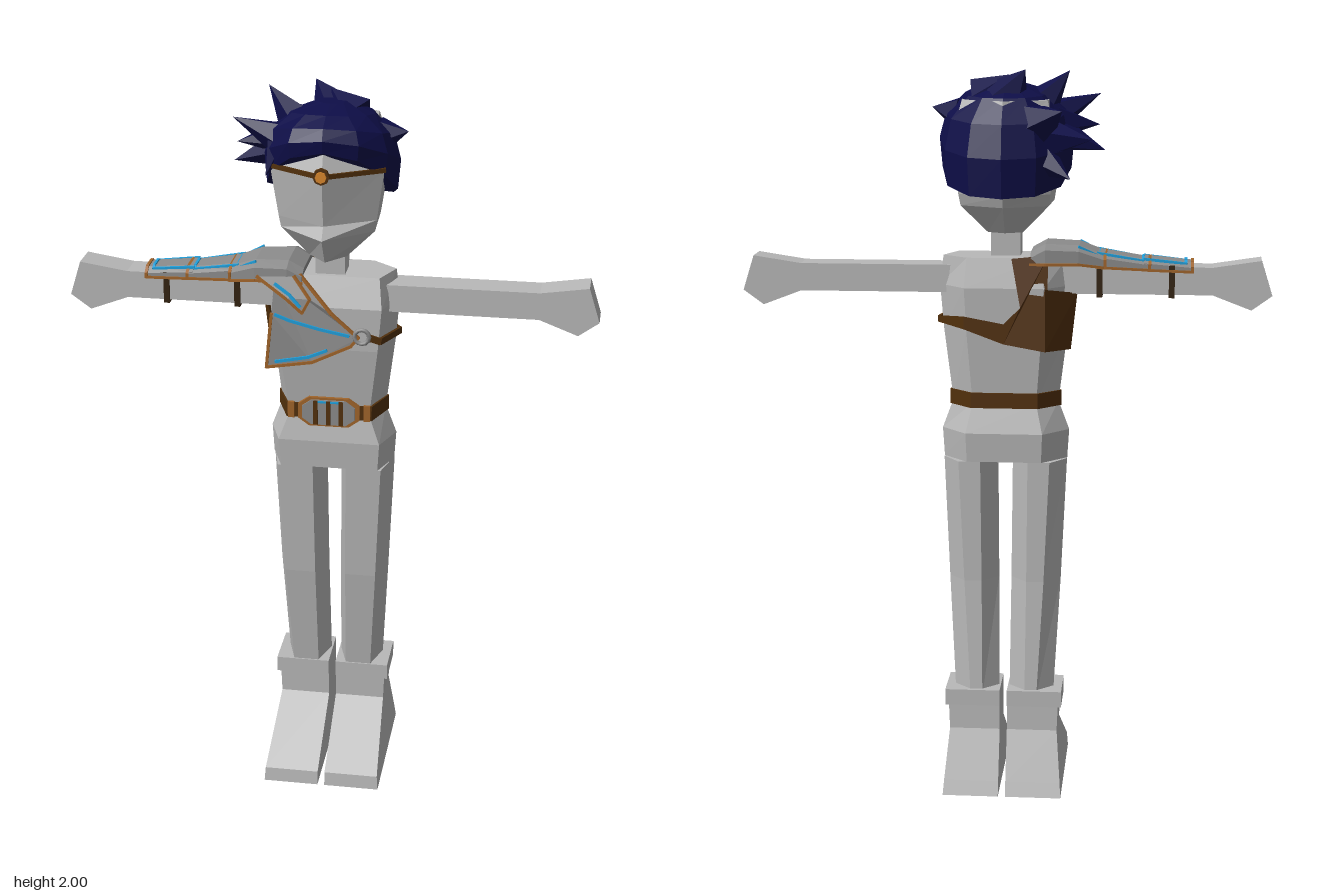
import * as THREE from 'three';

const mat = (name, color) => {
  const m = new THREE.MeshStandardMaterial({ color, side: THREE.DoubleSide });
  m.name = name;
  return m;
};
const V = (x, y, z) => new THREE.Vector3(x, y, z);

// Flat-shaded solid through rings of points (counterclockwise about the sweep direction)
function loft(rings) {
  const p = [];
  const tri = (...v) => v.forEach(q => p.push(q.x, q.y, q.z));
  const n = rings[0].length;
  for (let r = 0; r + 1 < rings.length; r++) for (let i = 0; i < n; i++) {
    const j = (i + 1) % n, a = rings[r], b = rings[r + 1];
    tri(a[i], a[j], b[j]);
    tri(a[i], b[j], b[i]);
  }
  const lo = rings[0], hi = rings[rings.length - 1];
  for (let i = 1; i < n - 1; i++) {
    tri(lo[0], lo[i + 1], lo[i]);
    tri(hi[0], hi[i], hi[i + 1]);
  }
  const g = new THREE.BufferGeometry();
  g.setAttribute('position', new THREE.Float32BufferAttribute(p, 3));
  g.computeVertexNormals();
  return g;
}
const flat = g => { const f = g.index ? g.toNonIndexed() : g; f.computeVertexNormals(); return f; };
const polygon = pts => new THREE.Shape(pts.map(([x, y]) => new THREE.Vector2(x, y)));

export function createModel() {
  const root = new THREE.Group();
  root.name = 'armouredFigure';
  const body = mat('bodyGrey', 0xb8b8b8), steel = mat('armourGrey', 0x8c8c8c);
  const leather = mat('brownLeather', 0x52300c), dark = mat('darkStrap', 0x33220f);
  const brass = mat('brassTrim', 0xa0642a), blue = mat('blueLine', 0x1fa0dc);
  const hairMat = mat('navyHair', 0x0e0e48), gem = mat('orangeGem', 0xd8862c);

  const add = (name, geo, material, parent = root) => {
    const m = new THREE.Mesh(geo, material);
    m.name = name;
    parent.add(m);
    return m;
  };
  // Straight bars along a path of [x, y, z] points
  const bars = (name, pts, w, d, material) => {
    const g = new THREE.Group();
    g.name = name;
    root.add(g);
    for (let i = 0; i + 1 < pts.length; i++) {
      const a = V(...pts[i]), b = V(...pts[i + 1]);
      const m = add(name + 'Segment', new THREE.BoxGeometry(d, w, a.distanceTo(b) + Math.min(w, d) * 0.6), material, g);
      m.position.copy(a).lerp(b, 0.5);
      m.lookAt(b);
    }
  };
  const box = (name, x, y, z, w, h, d, material) =>
    add(name, new THREE.BoxGeometry(w, h, d), material).position.set(x, y, z);

  // Torso: six-sided sections [y, half width, front z, back z]
  const section = (y, w, f, b) => [V(-w + 0.035, y, f), V(w - 0.035, y, f), V(w, y, -0.035),
    V(w * 0.6, y, b), V(-w * 0.6, y, b), V(-w, y, -0.035)];
  const torso = [[0.94, 0.17, 0.06, -0.11], [1.02, 0.175, 0.065, -0.115], [1.1, 0.145, 0.05, -0.09],
    [1.3, 0.17, 0.078, -0.105], [1.42, 0.18, 0.08, -0.11], [1.5, 0.17, 0.05, -0.09]];
  add('torso', loft(torso.map(t => section(...t))), body);
  box('neck', 0, 1.54, -0.002, 0.08, 0.12, 0.075, body);

  // Limbs, mirrored
  for (const s of [1, -1]) {
    const side = s > 0 ? 'left' : 'right';
    const ring = pts => { const r = pts.map(([x, y, z]) => V(s * x, y, z)); return s > 0 ? r : r.reverse(); };
    const leg = [[0.94, 0.02, 0.17, 0.06, -0.11], [0.6, 0.017, 0.155, 0.04, -0.108], [0.27, 0.014, 0.137, 0, -0.128]]
      .reverse().map(([y, i, o, f, b]) => ring([[i + 0.026, y, f], [o - 0.026, y, f], [o, y, (f + b) / 2 - 0.02],
        [o - 0.045, y, b], [i + 0.045, y, b], [i, y, (f + b) / 2 - 0.02]]));
    add(side + 'Leg', loft(leg), body);

    const boot = [[0, 0.165, 0.215, -0.2], [0.04, 0.162, 0.21, -0.185], [0.175, 0.15, -0.005, -0.132], [0.25, 0.153, -0.005, -0.13]]
      .map(([y, o, f, b]) => ring([[0.01, y, f], [o, y, f], [o, y, b], [0.01, y, b]]));
    add(side + 'Boot', loft(boot), body);
    box(side + 'BootCuff', s * 0.086, 0.268, -0.066, 0.152, 0.045, 0.145, body);

    const arm = [[0.14, 1.4], [0.56, 1.4], [0.665, 1.36], [0.72, 1.4], [0.69, 1.495], [0.56, 1.475], [0.14, 1.475]];
    const g = new THREE.ExtrudeGeometry(polygon(arm.map(([x, y]) => [s * x, y])), { depth: 0.084, bevelEnabled: false });
    add(side + 'Arm', g.translate(0, 0, -0.054), body);
  }

  // Head with a centre crease: [y, half width, front z, cheek z, temple z, back z]
  const headRing = ([y, w, f, c, t, b]) => [V(0, y, f), V(w, y, c), V(w * 0.95, y, t), V(0, y, b),
    V(-w * 0.95, y, t), V(-w, y, c)];
  add('head', loft([[1.565, 0.05, 0.13, 0.07, -0.05, -0.075], [1.64, 0.125, 0.182, 0.075, -0.08, -0.14],
    [1.672, 0.13, 0.155, 0.08, -0.09, -0.155], [1.81, 0.15, 0.178, 0.09, -0.1, -0.17],
    [1.92, 0.12, 0.13, 0.06, -0.08, -0.14]].map(headRing)), body);
  add('headband', loft([1.805, 1.817].map(y => headRing([y, 0.154, 0.183, 0.093, -0.1, -0.174]))), leather);
  const jewel = (name, r, z, m) => {
    const g = new THREE.CylinderGeometry(r, r, 0.012, 8).rotateX(Math.PI / 2);
    add(name, flat(g), m).position.set(0, 1.815, z);
  };
  jewel('browSetting', 0.022, 0.184, leather);
  jewel('browGem', 0.015, 0.19, gem);

  // Hair cap: low at the nape, high over the brow
  const hairRings = [[0, 0.96], [0.35, 1], [0.65, 0.9], [0.87, 0.62], [1, 0.2]].map(([t, r]) =>
    Array.from({ length: 12 }, (_, i) => {
      const a = i / 12 * Math.PI * 2, c = Math.cos(a), low = 1.735 + 0.1 * c + 0.035 * c * c;
      return V(Math.sin(a) * 0.182 * r, low + (1.965 - low) * t, c * (c > 0 ? 0.172 : 0.205) * r);
    }));
  add('hairCap', loft(hairRings), hairMat);
  // Hair spikes: base, tip, radius
  const spikes = [
    [[-0.09, 1.9, 0], [-0.17, 1.995, -0.02], 0.055], [[0, 1.92, -0.05], [-0.055, 2, -0.08], 0.07],
    [[0.05, 1.92, -0.02], [-0.01, 1.985, -0.05], 0.07], [[-0.12, 1.87, 0.05], [-0.25, 1.93, 0.07], 0.05],
    [[-0.13, 1.83, -0.02], [-0.267, 1.785, -0.025], 0.055], [[-0.13, 1.86, -0.01], [-0.25, 1.85, 0.02], 0.05],
    [[-0.12, 1.82, -0.09], [-0.235, 1.82, -0.12], 0.055], [[-0.09, 1.86, -0.12], [-0.16, 1.9, -0.21], 0.06],
    [[-0.1, 1.77, -0.11], [-0.18, 1.72, -0.17], 0.05], [[-0.13, 1.86, 0.07], [-0.16, 1.785, 0.1], 0.035],
    [[0.13, 1.88, 0], [0.203, 1.895, 0.015], 0.05]];
  for (const [a, b, r] of spikes) {
    const base = V(...a), tip = V(...b), h = base.distanceTo(tip);
    const m = add('hairSpike', flat(new THREE.ConeGeometry(r, h, 5)), hairMat);
    m.position.copy(base).lerp(tip, 0.5);
    m.quaternion.setFromUnitVectors(V(0, 1, 0), tip.sub(base).normalize());
  }

  // Breastplate over the right half of the chest
  const frontZ = y => (y > 1.44 ? 0.097 - (y - 1.44) * 0.4 : 0.097);
  const plate = (name, pts, zRule, material) => {
    const g = new THREE.ShapeGeometry(polygon(pts)), p = g.attributes.position;
    for (let i = 0; i < p.count; i++) p.setZ(i, zRule(p.getY(i)));
    return add(name, flat(g), material);
  };
  const on = (pts, lift) => pts.map(([x, y]) => [x, y, frontZ(y) + lift]);
  const breast = [[-0.145, 1.5], [-0.15, 1.4], [-0.165, 1.247], [-0.04, 1.268], [0.065, 1.32], [0.085, 1.345],
    [0.012, 1.41], [-0.075, 1.505]];
  plate('breastplate', breast, frontZ, steel);
  bars('breastplateTrim', on([...breast.slice(1), breast[0]], 0), 0.008, 0.008, brass);
  bars('breastplateLowerLine', on([[-0.14, 1.265], [-0.05, 1.283], [0.0, 1.305]], 0.003), 0.008, 0.005, blue);
  bars('breastplateUpperLine', on([[-0.14, 1.4], [-0.1, 1.385], [-0.02, 1.365], [0.06, 1.35]], 0.003), 0.008, 0.005, blue);
  const flap = [[-0.19, 1.5], [-0.09, 1.505], [-0.045, 1.45], [-0.065, 1.412], [-0.11, 1.45]];
  plate('shoulderFlap', flap, y => frontZ(y) + 0.012, steel);
  bars('shoulderFlapTrim', on([...flap.slice(1), flap[0]], 0.012), 0.007, 0.007, brass);
  bars('shoulderFlapLine', on([[-0.14, 1.485], [-0.1, 1.46], [-0.07, 1.43]], 0.015), 0.008, 0.005, blue);

  // Leather harness on the right side, back and left side
  plate('backHarness', [[0.108, 1.345], [0, 1.325], [-0.045, 1.37], [-0.02, 1.5], [-0.12, 1.51], [-0.112, 1.25],
    [0, 1.27], [0.108, 1.31]], y => -0.122 + Math.max(0, y - 1.42) * 0.25, leather);
  const quad = (name, pts) => {
    const [a, b, c, d] = pts.map(p => V(...p));
    const g = new THREE.BufferGeometry().setFromPoints([a, b, c, a, c, d]);
    g.computeVertexNormals();
    add(name, g, leather);
  };
  quad('rightFlankFront', [[-0.178, 1.245, -0.04], [-0.163, 1.247, 0.097], [-0.15, 1.4, 0.097], [-0.195, 1.4, -0.04]]);
  quad('rightFlankBack', [[-0.112, 1.25, -0.122], [-0.178, 1.245, -0.04], [-0.195, 1.4, -0.04], [-0.112, 1.42, -0.122]]);
  quad('leftBackStrap', [[0.185, 1.315, -0.035], [0.108, 1.31, -0.122], [0.108, 1.345, -0.122], [0.185, 1.333, -0.035]]);
  bars('leftChestStrap', [[0.115, 1.345, 0.092], [0.143, 1.335, 0.087], [0.182, 1.324, -0.035]], 0.018, 0.008, leather);
  add('strapRing', new THREE.TorusGeometry(0.02, 0.006, 6, 12), steel).position.set(0.095, 1.35, 0.1);

  // Overlapping plates down the right arm: [x, top y, half depth, bottom y]
  const armRing = ([x, y, h, b]) => [[y, h * 0.6], [y - 0.013, h], [b, h], [b, -h], [y - 0.013, -h], [y, -h * 0.6]]
    .map(([py, z]) => V(x, py, z - 0.011));
  const armPlates = {
    shoulderPlate: [[-0.27, 1.508, 0.068, 1.475], [-0.2, 1.533, 0.085, 1.485], [-0.11, 1.537, 0.095, 1.485], [-0.07, 1.515, 0.09, 1.485]],
    upperArmPlate: [[-0.39, 1.494, 0.052, 1.468], [-0.25, 1.515, 0.063, 1.475]],
    forearmPlate: [[-0.505, 1.487, 0.045, 1.463], [-0.375, 1.499, 0.052, 1.468]]
  };
  for (const [name, rows] of Object.entries(armPlates)) {
    add(name, loft(rows.map(armRing)), steel);
    const [x, y, h, b] = rows[0], [x2, y2, h2] = rows[1];
    const end = armRing(rows[0]).map(v => [v.x, v.y, v.z]);
    bars(name + 'Trim', [end[3], end[4], end[5], end[0], end[1], end[2]], 0.008, 0.008, brass);
    for (const s of [1, -1]) bars(name + 'EdgeTrim', rows.map(r => [r[0], r[3], s * r[2] - 0.011]), 0.007, 0.007, brass);
    const u = 0.75, w = 0.003;
    bars(name + 'Line', [[x2, y2 - w, -h2 * u - 0.011], [x + 0.018, y - w, -h * u - 0.011],
      [x + 0.018, y + w, -h * 0.5 - 0.011], [x + 0.018, y + w, h * 0.5 - 0.011],
      [x + 0.018, y - w, h * u - 0.011], [x2, y2 - w, h2 * u - 0.011]], 0.007, 0.007, blue);
  }
  for (const x of [-0.45, -0.255]) box('armStrap', x, 1.436, -0.012, 0.016, 0.088, 0.096, dark);

  // Belt and buckle
  add('belt', loft([1.088, 1.13].map(y => section(y, 0.153, 0.058, -0.098))), leather);
  const buckle = k => polygon([[-0.085, -0.02], [-0.055, -0.042], [0.055, -0.042], [0.085, -0.02], [0.085, 0.02],
    [0.055, 0.042], [-0.055, 0.042], [-0.085, 0.02]].map(([x, y]) => [x * k, y * k]));
  const buckleLayer = (name, k, depth, m) =>
    add(name, new THREE.ExtrudeGeometry(buckle(k), { depth, bevelEnabled: false }), m).position.set(0, 1.11, 0.055);
  buckleLayer('buckleRim', 1, 0.012, brass);
  buckleLayer('buckleFace', 0.86, 0.017, steel);
  for (const x of [-0.035, 0, 0.035]) box('buckleBar', x, 1.11, 0.073, 0.012, 0.07, 0.006, leather);
  box('buckleLine', 0, 1.142, 0.073, 0.08, 0.005, 0.005, blue);
  for (const x of [-0.105, 0.105]) box('beltLoop', x, 1.11, 0.059, 0.018, 0.046, 0.008, brass);

  return root;
}
